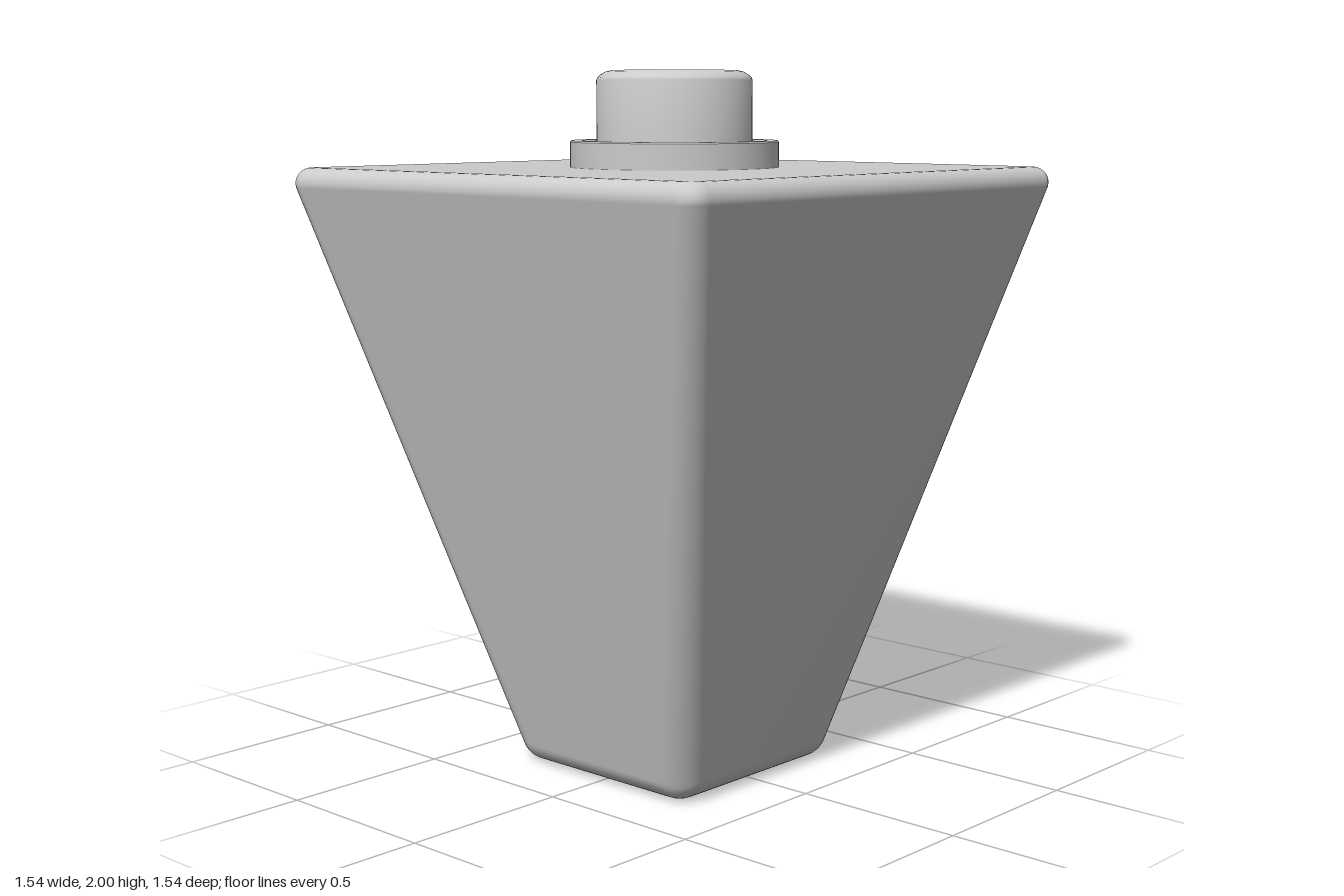
import * as THREE from 'three';
import { toCreasedNormals } from 'three/addons/utils/BufferGeometryUtils.js';

const material = new THREE.MeshStandardMaterial({ color: 0xcccccc });

function addPart(group, name, geometry) {
  const mesh = new THREE.Mesh(geometry, material);
  mesh.name = name;
  group.add(mesh);
}

// Points [x, y] along an arc, angles in degrees
function arc(cx, cy, r, from, to, steps) {
  return Array.from({ length: steps + 1 }, (_, i) => {
    const a = THREE.MathUtils.degToRad(from + ((to - from) * i) / steps);
    return [cx + r * Math.cos(a), cy + r * Math.sin(a)];
  });
}

// Tapered square body, stacked from rounded-square cross-sections
function taperedBody() {
  const bottom = arc(0.262, 0.08, 0.08, -90, -15, 8);
  const top = arc(0.727, 1.685, 0.045, -15, 90, 8);
  const sections = [
    ...bottom.map(([w, y]) => ({ w, y, r: 0.082 - (0.339 - w) })),
    ...top.map(([w, y]) => ({ w, y, r: 0.06 - (0.772 - w) })),
  ];
  const cornerSteps = 8;
  const n = 4 * (cornerSteps + 1);
  const positions = [];
  const index = [];
  for (const { w, y, r } of sections) {
    for (let corner = 0; corner < 4; corner++) {
      const a0 = (corner * Math.PI) / 2;
      const cx = (w - r) * Math.SQRT2 * Math.cos(a0 + Math.PI / 4);
      const cz = (w - r) * Math.SQRT2 * Math.sin(a0 + Math.PI / 4);
      for (let i = 0; i <= cornerSteps; i++) {
        const a = a0 + (i / cornerSteps) * (Math.PI / 2);
        positions.push(cx + r * Math.cos(a), y, cz + r * Math.sin(a));
      }
    }
  }
  const last = (sections.length - 1) * n;
  const bottomCentre = sections.length * n;
  positions.push(0, 0, 0, 0, 1.73, 0);
  for (let i = 0; i < n; i++) {
    const j = (i + 1) % n;
    for (let s = 0; s < last; s += n) {
      index.push(s + i, s + n + i, s + j, s + j, s + n + i, s + n + j);
    }
    index.push(bottomCentre, i, j, bottomCentre + 1, last + j, last + i);
  }
  const geometry = new THREE.BufferGeometry();
  geometry.setAttribute('position', new THREE.Float32BufferAttribute(positions, 3));
  geometry.setIndex(index);
  geometry.computeVertexNormals();
  return geometry;
}

// Round part turned from a profile, with sharp edges kept
function turned(profile) {
  const lathe = new THREE.LatheGeometry(profile.map(([x, y]) => new THREE.Vector2(x, y)), 64);
  return toCreasedNormals(lathe, 0.6);
}

export function createModel() {
  const group = new THREE.Group();
  group.name = 'taperedBottle';

  addPart(group, 'body', taperedBody());

  // Raised collar around the stopper
  addPart(group, 'collar', turned([
    [0.258, 1.72], [0.295, 1.72], [0.295, 1.801], [0.291, 1.805],
    [0.262, 1.805], [0.258, 1.801], [0.258, 1.72],
  ]));

  // Stopper with a softened shoulder
  addPart(group, 'stopper', turned([
    [0, 1.72], [0.22, 1.72], [0.22, 1.972], [0.217, 1.98], [0.208, 1.988],
    [0.195, 1.996], [0.178, 2], [0, 2],
  ]));

  return group;
}
